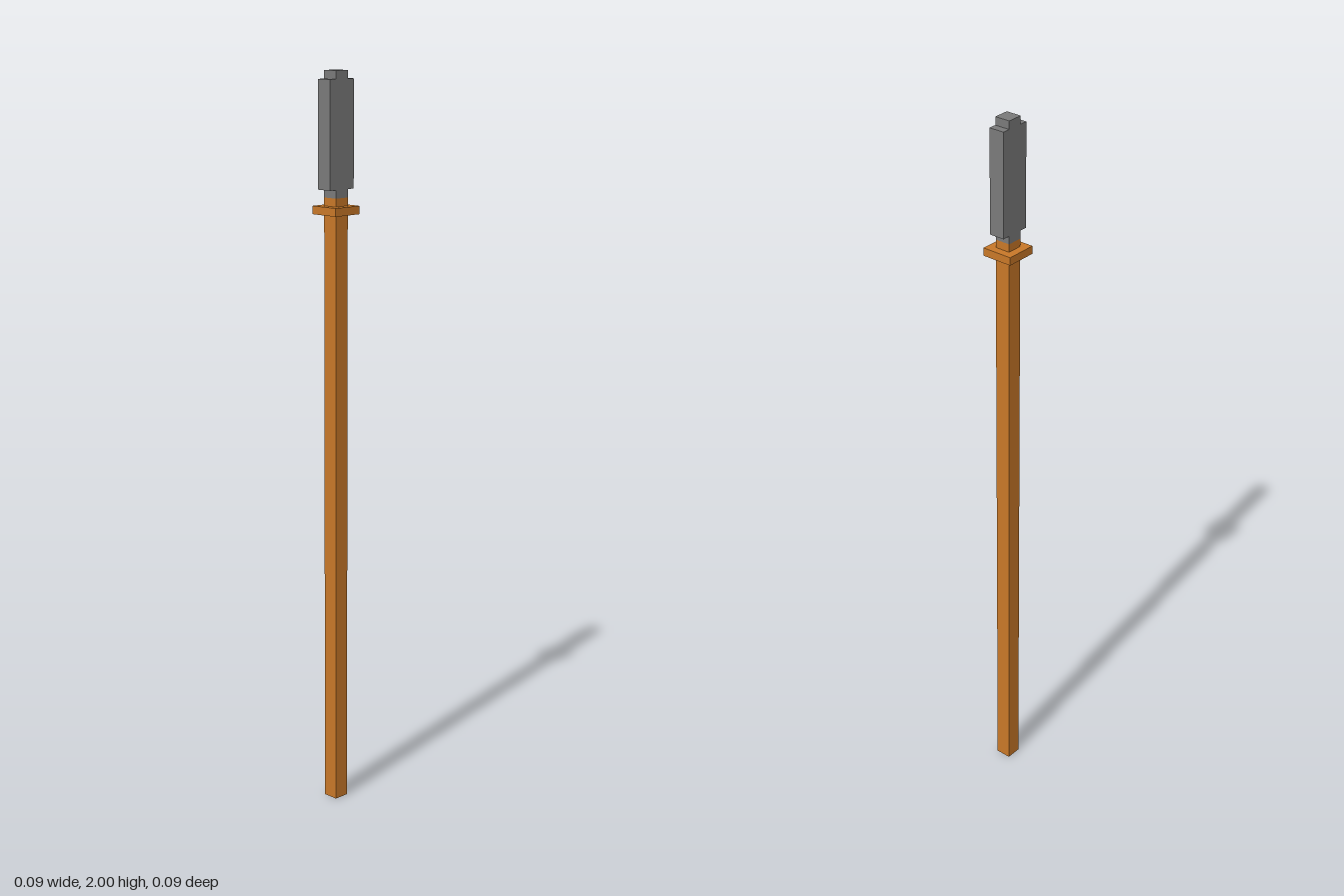
import * as THREE from 'three';

// The design sits on a block grid, 92 units tall
const U = 2 / 92;

export function createModel() {
  const group = new THREE.Group();
  const wood = new THREE.MeshStandardMaterial({ color: 0xc87828 });
  wood.name = 'wood';
  const metal = new THREE.MeshStandardMaterial({ color: 0x7a7a7a });
  metal.name = 'metal';

  // Box of width w and depth d, from height y0 to y1, all in grid units
  const block = (name, material, w, d, y0, y1) => {
    const mesh = new THREE.Mesh(new THREE.BoxGeometry(w * U, (y1 - y0) * U, d * U), material);
    mesh.name = name;
    mesh.position.y = ((y0 + y1) / 2) * U;
    group.add(mesh);
  };

  // Long square handle with a flat collar near its top
  block('lowerShaft', wood, 2, 2, 0, 75);
  block('collar', wood, 4, 4, 75, 76);
  block('upperShaft', wood, 2, 2, 76, 77);

  // Metal head: neck, broad blade and stepped tip
  block('neck', metal, 2, 2, 77, 78);
  block('blade', metal, 4, 2, 78, 91);
  block('tip', metal, 2, 2, 91, 92);

  return group;
}
